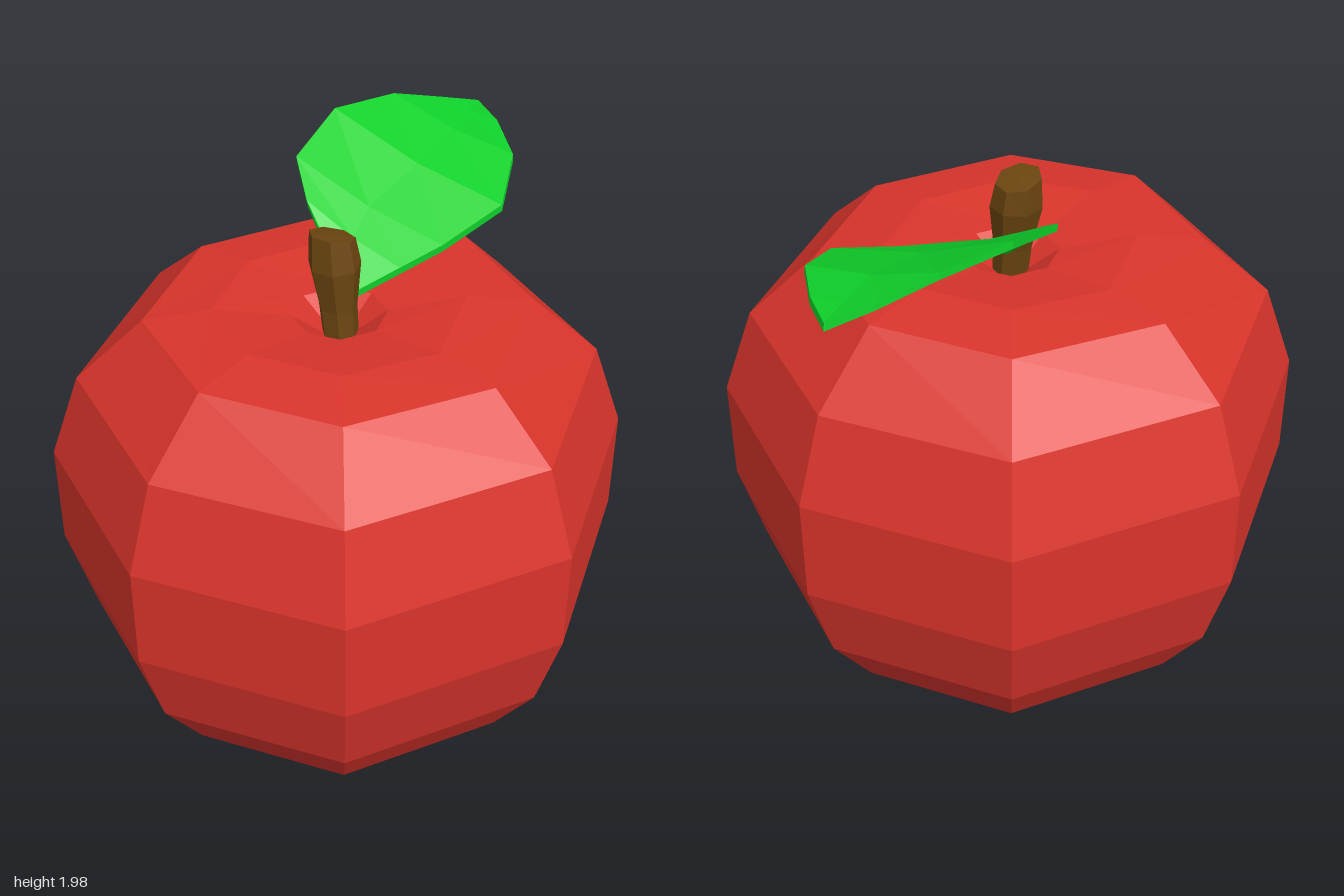
import * as THREE from 'three';

const V3 = (p) => new THREE.Vector3(...p);

function mesh(name, geometry, color, side = THREE.FrontSide) {
  const m = new THREE.Mesh(geometry, new THREE.MeshStandardMaterial({ color, flatShading: true, side }));
  m.name = name;
  return m;
}

// Lathe whose vertices are then moved by a rule
function turned(profile, sides, rule) {
  const g = new THREE.LatheGeometry(profile.map(([r, y]) => new THREE.Vector2(r, y)), sides);
  const pos = g.attributes.position, v = new THREE.Vector3();
  for (let i = 0; i < pos.count; i++) {
    rule(v.fromBufferAttribute(pos, i));
    pos.setXYZ(i, v.x, v.y, v.z);
  }
  g.computeVertexNormals();
  return g;
}

// Closed skin through cross-sections with equal point counts
function loft(sections) {
  const n = sections[0].length, index = [];
  for (let s = 0; s < sections.length - 1; s++) {
    for (let i = 0; i < n; i++) {
      const a = s * n + i, b = s * n + (i + 1) % n;
      index.push(a, b, a + n, b, b + n, a + n);
    }
  }
  const g = new THREE.BufferGeometry().setFromPoints(sections.flat());
  g.setIndex(index);
  g.computeVertexNormals();
  return g;
}

export function createModel() {
  const model = new THREE.Group();
  model.name = 'apple';

  // Eight-sided fruit with a hollow base and a dimpled top
  const profile = [
    [0, 0.13], [0.27, 0.07], [0.51, 0.01], [0.73, 0.155], [0.89, 0.39], [0.98, 0.7], [0.98, 1.07],
    [0.875, 1.37], [0.645, 1.59], [0.42, 1.618], [0.16, 1.57], [0, 1.46],
  ];
  const fruit = mesh('fruit', turned(profile, 8, (v) => {
    const r = Math.hypot(v.x, v.z);
    // Diagonal corners sit a little wider in x than in z
    if (Math.abs(v.x) > 0.3 * r && Math.abs(v.z) > 0.3 * r) {
      v.x *= 1.04;
      v.z *= 0.96;
    }
    // The rim sinks slightly at front and back
    if (v.y > 1.5 && r > 0.3) v.y -= 0.02 * (v.z / r) ** 2;
  }), 0xd9342b);
  fruit.position.x = -0.02;
  model.add(fruit);

  // Stem flares upward, leans back and has a slanted cut
  const stemProfile = [[0.06, 1.46], [0.065, 1.6], [0.088, 1.75], [0.076, 1.85], [0, 1.855]];
  const stem = mesh('stem', turned(stemProfile, 7, (v) => {
    if (v.y > 1.8) v.y -= 0.25 * v.x;
    v.z -= 0.1 * (v.y - 1.55);
  }), 0x6b4510);
  stem.position.x = -0.022;
  model.add(stem);

  // Leaf: back and front edges, joined through a slightly sunken midrib
  const back = [
    [0.04, 1.625, -0.04], [0.12, 1.83, -0.27], [0.2, 1.92, -0.39], [0.45, 1.99, -0.44],
    [0.7, 1.975, -0.385], [0.87, 1.925, -0.31], [1, 1.888, -0.24],
  ].map(V3);
  const front = [
    [0.05, 1.625, 0.01], [0.2, 1.67, 0.07], [0.36, 1.705, 0.12], [0.6, 1.78, 0.18],
    [0.8, 1.855, 0.07], [0.93, 1.88, -0.1], [1, 1.885, -0.235],
  ].map(V3);
  const sections = back.map((b, i) => {
    const f = front[i];
    const mid = b.clone().lerp(f, 0.5);
    mid.y -= 0.04 * b.distanceTo(f);
    const top = [b, mid, f];
    const under = [f, mid, b].map((p) => p.clone().add(new THREE.Vector3(0.004, -0.025, 0)));
    return [...top, ...under];
  });
  model.add(mesh('leaf', loft(sections), 0x0fd12a, THREE.DoubleSide));

  return model;
}
